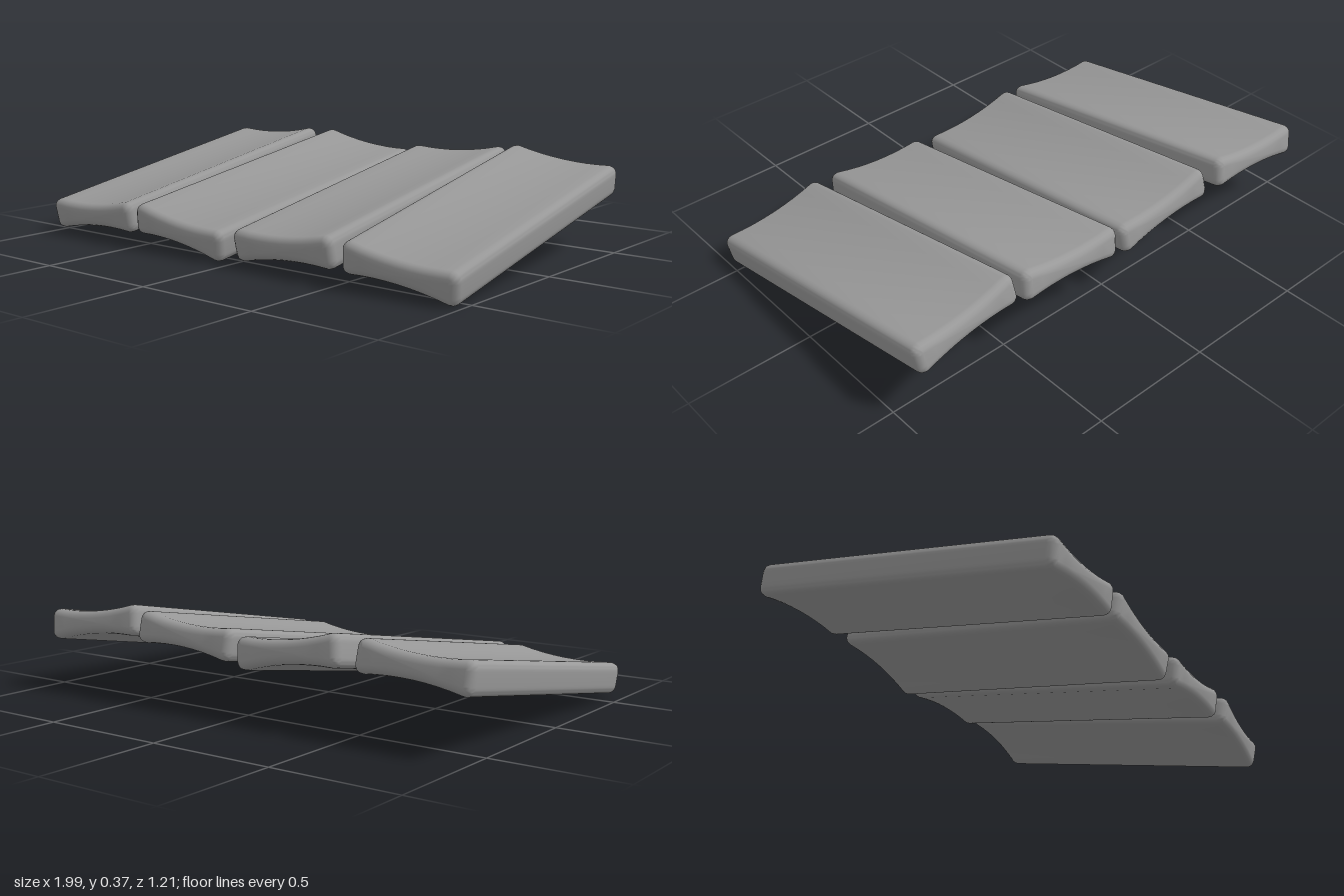
import * as THREE from 'three';
import { toCreasedNormals } from 'three/addons/utils/BufferGeometryUtils.js';

const W = 0.46, H = 0.122, L = 1.2; // plank size
const R = 0.036, BEVEL = 0.032, SAG = 0.032; // corner radius, end bevel, hollow of the faces

// Rounded bar whose top and bottom are hollowed along the middle
function plankGeometry() {
  const a = W / 2, b = H / 2;
  const s = new THREE.Shape();
  s.moveTo(-a + R, -b);
  s.quadraticCurveTo(0, -b + SAG, a - R, -b);
  s.quadraticCurveTo(a, -b, a, -b + R);
  s.lineTo(a, b - R);
  s.quadraticCurveTo(a, b, a - R, b);
  s.quadraticCurveTo(0, b - SAG, -a + R, b);
  s.quadraticCurveTo(-a, b, -a, b - R);
  s.lineTo(-a, -b + R);
  s.quadraticCurveTo(-a, -b, -a + R, -b);
  const depth = L - 2 * BEVEL;
  const geo = new THREE.ExtrudeGeometry(s, {
    depth, curveSegments: 8, bevelEnabled: true, bevelSegments: 4,
    bevelThickness: BEVEL, bevelSize: BEVEL, bevelOffset: -BEVEL,
  });
  geo.translate(0, 0, -depth / 2);
  return toCreasedNormals(geo, 0.8);
}

export function createModel() {
  const group = new THREE.Group();
  group.name = 'plankRow';
  const grey = new THREE.MeshStandardMaterial({ color: 0x999999 });
  grey.name = 'grey';
  const geo = plankGeometry();

  // x, y, pitch, yaw, roll (degrees) of each plank
  const planks = [
    [-0.758, 0.195, 9.5, 0, 4],
    [-0.252, 0.187, 9.5, 0, -7.7],
    [0.252, 0.195, 9.5, 0, 4],
    [0.745, 0.192, 10.4, 3, -7],
  ];
  planks.forEach(([x, y, pitch, yaw, roll], i) => {
    const plank = new THREE.Mesh(geo, grey);
    plank.name = 'plank' + (i + 1);
    plank.position.set(x, y, 0);
    const [rx, ry, rz] = [pitch, yaw, roll].map(THREE.MathUtils.degToRad);
    plank.rotation.set(rx, ry, rz, 'YZX');
    group.add(plank);
  });
  return group;
}
